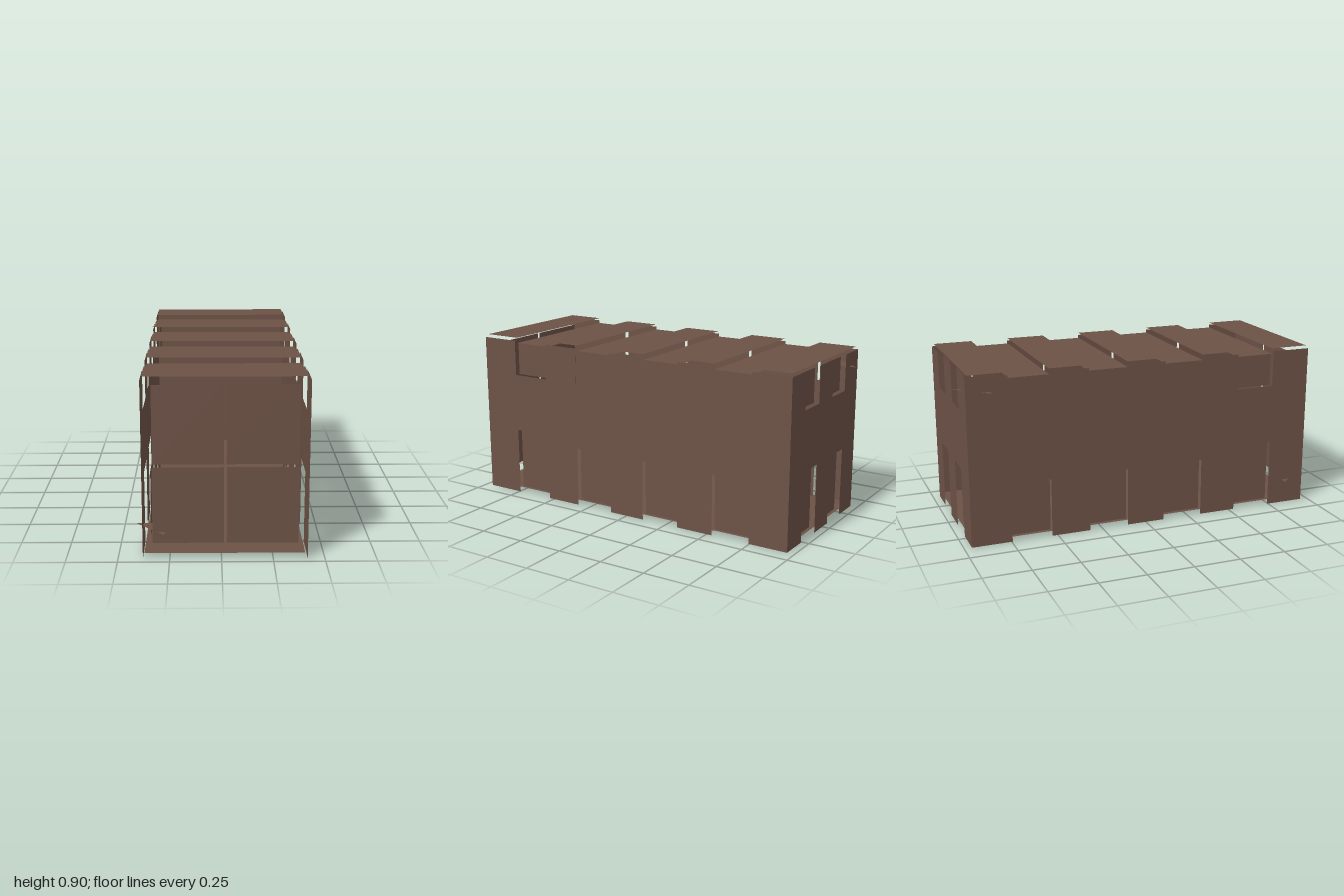
import * as THREE from 'three';

export function createModel() {
  const model = new THREE.Group();
  const wood = new THREE.MeshStandardMaterial({ color: 0x6d5246, side: THREE.DoubleSide });
  wood.name = 'brown wood';

  const WALL_TOP = 0.885, ROOF = 0.9, INSET = 0.03;
  const LEFT = 0.417, RIGHT = -0.38, BACK = -0.96, FRONT = 0.96;
  const LOW = 0.37, HIGH = 0.69; // top of the lower notches, bottom of the upper ones

  function sheet(name, points, parent = model) {
    const shape = new THREE.Shape(points.map(([a, b]) => new THREE.Vector2(a, b)));
    const mesh = new THREE.Mesh(new THREE.ShapeGeometry(shape), wood);
    mesh.name = name;
    parent.add(mesh);
    return mesh;
  }
  const rect = (a0, b0, a1, b1) => [[a0, b0], [a1, b0], [a1, b1], [a0, b1]];

  // Flat sheet lying in the xz plane at height y
  function flat(name, points, y) {
    const mesh = sheet(name, points);
    mesh.rotation.x = Math.PI / 2;
    mesh.position.y = y;
    return mesh;
  }

  // Wall notched along both edges, with a recessed panel behind each notch
  function notchedWall(name, u0, u1, notches, inset) {
    const wall = new THREE.Group();
    wall.name = name;
    const pts = [[u0, 0]];
    for (const [a, b] of notches) pts.push([a, 0], [a, LOW], [b, LOW], [b, 0]);
    pts.push([u1, 0], [u1, WALL_TOP]);
    for (const [a, b] of [...notches].reverse()) {
      pts.push([b, WALL_TOP], [b, HIGH], [a, HIGH], [a, WALL_TOP]);
    }
    pts.push([u0, WALL_TOP]);
    sheet(name + 'Boards', pts, wall);
    for (const [a, b] of notches) {
      sheet('lowerRecessedPanel', rect(a, 0.025, b, LOW), wall).position.z = inset;
      sheet('upperRecessedPanel', rect(a, HIGH, b, 0.87), wall).position.z = inset;
    }
    model.add(wall);
    return wall;
  }

  // Side walls and back wall
  const sideNotches = [[-0.745, -0.53], [-0.32, -0.105], [0.105, 0.325], [0.53, 0.745]];
  for (const [name, x, inset] of [['leftWall', LEFT, INSET], ['rightWall', RIGHT, -INSET]]) {
    const wall = notchedWall(name, BACK, FRONT, sideNotches, inset);
    wall.rotation.y = -Math.PI / 2;
    wall.position.x = x;
  }
  notchedWall('backWall', RIGHT, LEFT, [[-0.22, -0.06], [0.1, 0.26]], INSET).position.z = BACK;

  // Floor and roof planks, alternately raised and lowered
  flat('floor', rect(-0.373, -0.95, 0.405, 0.95), 0.025);
  const cuts = [-0.95, -0.74, -0.53, -0.322, -0.105, 0.105, 0.322, 0.53, 0.74, 0.95];
  for (let i = 0; i < cuts.length - 1; i++) {
    flat('roofPlank', rect(-0.373, cuts[i], 0.405, cuts[i + 1]), i % 2 ? ROOF - INSET : ROOF);
  }

  // Front doors: lower pair stands ahead of the upper pair
  for (const [x0, x1] of [[-0.332, 0.012], [0.025, 0.371]]) {
    sheet('lowerDoor', rect(x0, 0.078, x1, 0.46)).position.z = 0.95;
    sheet('upperDoor', rect(x0, 0.46, x1, 0.85)).position.z = 0.905;
  }

  // Triangular corner braces poking through the right wall
  flat('backBrace', [[-0.42, -0.835], [-0.272, -1], [-0.272, -0.835]], 0.81);
  flat('frontBrace', [[-0.42, 0.83], [-0.272, 0.83], [-0.272, 0.995]], 0.135);

  return model;
}
